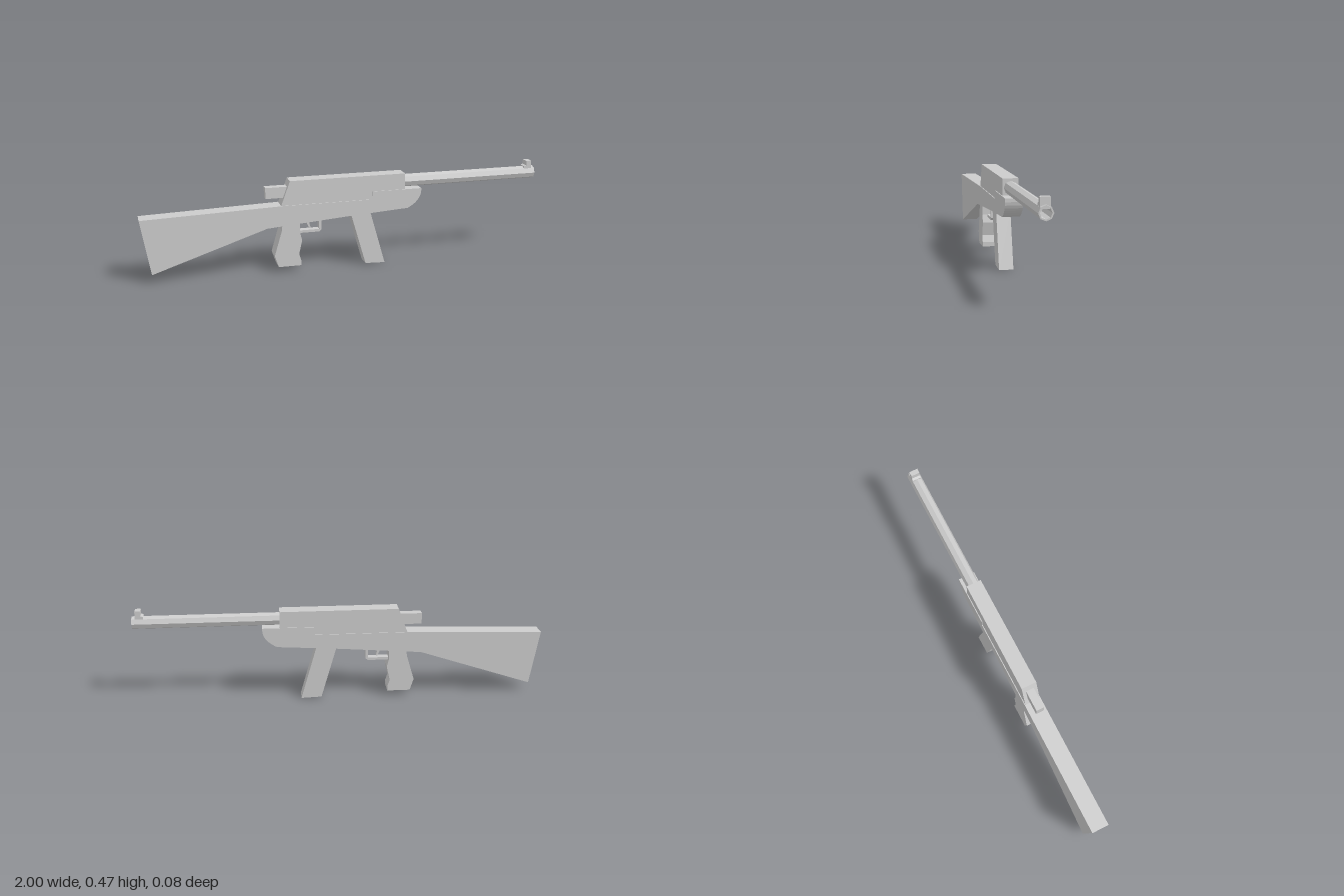
import * as THREE from 'three';

const material = new THREE.MeshStandardMaterial({ color: 0xcccccc, flatShading: true, side: THREE.DoubleSide });

export function createModel() {
  const group = new THREE.Group();

  const add = (name, geometry) => {
    const mesh = new THREE.Mesh(geometry, material);
    mesh.name = name;
    group.add(mesh);
    return mesh;
  };

  // Side profile in x/y, extruded symmetrically about z = 0
  const slab = (name, points, halfWidth) => {
    const shape = new THREE.Shape(points.map(([x, y]) => new THREE.Vector2(x, y)));
    const geometry = new THREE.ExtrudeGeometry(shape, { depth: 2 * halfWidth, bevelEnabled: false });
    return add(name, geometry.translate(0, 0, -halfWidth));
  };

  // Shoulder stock and fore-end in one piece, with a rounded nose
  const nose = new THREE.CubicBezierCurve(
    new THREE.Vector2(0.31, 0.278), new THREE.Vector2(0.345, 0.295),
    new THREE.Vector2(0.385, 0.325), new THREE.Vector2(0.38, 0.375)
  ).getPoints(8).map((p) => [p.x, p.y]);
  slab('stock', [
    [-1, 0.315], [-0.955, 0.045], [-0.4, 0.228], [0.02, 0.26], ...nose,
    [0.125, 0.375], [0.125, 0.335], [-0.32, 0.335],
  ], 0.042);

  // Receiver and bolt
  slab('receiver', [[-0.335, 0.32], [-0.285, 0.455], [0.295, 0.455], [0.295, 0.36], [0.1, 0.32]], 0.038);
  add('bolt', new THREE.BoxGeometry(0.13, 0.054, 0.04).translate(-0.337, 0.397, 0));

  // Octagonal barrel with a hollow muzzle
  const profile = [[0, 0.27], [0.032, 0.27], [0.032, 1], [0.025, 1], [0.025, 0.85], [0, 0.85]];
  const barrel = add('barrel', new THREE.LatheGeometry(profile.map(([r, h]) => new THREE.Vector2(r, h)), 8));
  barrel.rotation.z = -Math.PI / 2;
  barrel.position.y = 0.411;

  // Front sight
  slab('frontSight', [[0.945, 0.425], [0.945, 0.445], [0.957, 0.449], [0.957, 0.473], [0.983, 0.473], [0.983, 0.425]], 0.022);

  // Pistol grip and magazine
  slab('grip', [
    [-0.325, 0.25], [-0.33, 0.21], [-0.367, 0.085], [-0.348, 0.027], [-0.235, 0.027],
    [-0.235, 0.05], [-0.246, 0.085], [-0.23, 0.155], [-0.24, 0.195], [-0.24, 0.25],
  ], 0.042);
  slab('magazine', [[0.015, 0.28], [0.095, 0.004], [0.195, 0], [0.115, 0.28]], 0.035);

  // Trigger guard and trigger
  slab('triggerGuard', [
    [-0.24, 0.185], [-0.137, 0.185], [-0.126, 0.196], [-0.126, 0.255],
    [-0.138, 0.255], [-0.138, 0.198], [-0.24, 0.198],
  ], 0.017);
  slab('trigger', [
    [-0.2, 0.255], [-0.196, 0.225], [-0.186, 0.203], [-0.179, 0.206], [-0.185, 0.228], [-0.183, 0.255],
  ], 0.008);

  return group;
}
